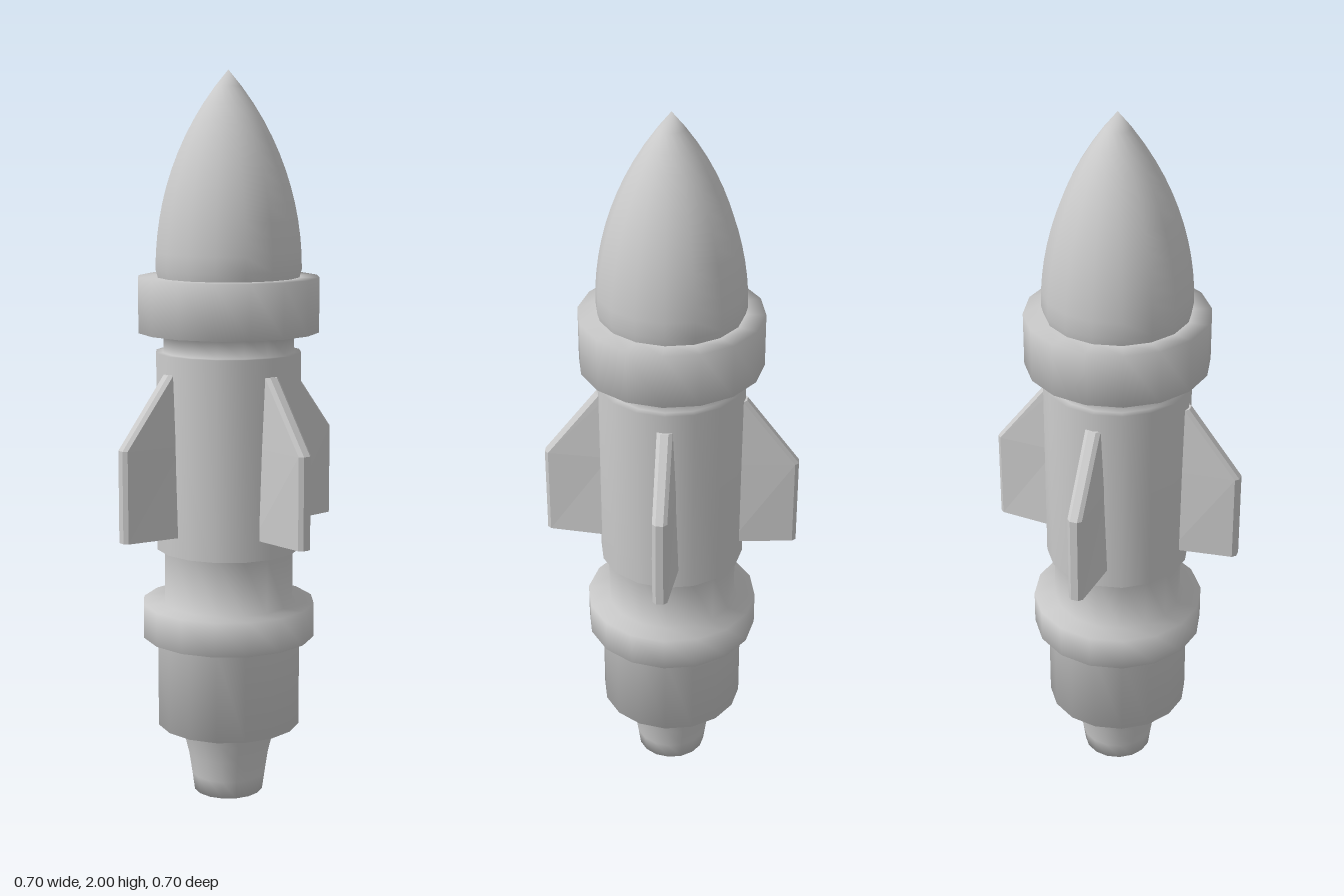
import * as THREE from 'three';
import { mergeVertices } from 'three/addons/utils/BufferGeometryUtils.js';

const SIDES = 16;
const material = new THREE.MeshStandardMaterial({ color: 0xcccccc });
const finMaterial = new THREE.MeshStandardMaterial({ color: 0xcccccc, flatShading: true });

// Turned part from [radius, height] pairs, bottom to top, with area-weighted smooth normals
function turned(name, profile) {
  const points = profile.map(([r, y]) => new THREE.Vector2(r, y));
  let geometry = new THREE.LatheGeometry(points, SIDES);
  geometry.deleteAttribute('uv');
  geometry.deleteAttribute('normal');
  geometry = mergeVertices(geometry, 1e-5);
  geometry.computeVertexNormals();
  const mesh = new THREE.Mesh(geometry, material);
  mesh.name = name;
  return mesh;
}

// Pointed arch profile of the nose: an arc from the base radius to the tip
function noseProfile(radius, base, tip, steps) {
  const length = tip - base;
  const arc = (length * length + radius * radius) / (2 * radius);
  const profile = [[0.19, 1.44]];
  for (let i = 0; i <= steps; i++) {
    const d = (length * i) / steps;
    const r = Math.sqrt(arc * arc - d * d) - (arc - radius);
    profile.push([i === steps ? 0 : r, base + d]);
  }
  return profile;
}

// Tapered fin lofted through horizontal sections with a chamfered outer edge
function finGeometry() {
  const root = 0.17;
  const sections = [
    { y: 0.76, tip: 0.35, rootHalf: 0.039, tipHalf: 0.02 },
    { y: 1.01, tip: 0.35, rootHalf: 0.031, tipHalf: 0.02 },
    { y: 1.2, tip: 0.205, rootHalf: 0.023, tipHalf: 0.021 },
  ];
  const positions = [];
  const index = [];
  const n = 6;
  for (const { y, tip, rootHalf, tipHalf } of sections) {
    positions.push(
      root, y, rootHalf, tip - 0.01, y, tipHalf, tip, y, tipHalf / 2,
      tip, y, -tipHalf / 2, tip - 0.01, y, -tipHalf, root, y, -rootHalf);
  }
  for (let i = 0; i < sections.length - 1; i++) {
    for (let j = 0; j < n; j++) {
      const a = i * n + j;
      const b = i * n + ((j + 1) % n);
      index.push(a, b, b + n, a, b + n, a + n);
    }
  }
  const top = (sections.length - 1) * n;
  for (let j = 1; j < n - 1; j++) {
    index.push(0, j + 1, j, top, top + j, top + j + 1);
  }
  const geometry = new THREE.BufferGeometry();
  geometry.setAttribute('position', new THREE.Float32BufferAttribute(positions, 3));
  geometry.setIndex(index);
  geometry.computeVertexNormals();
  return geometry;
}

export function createModel() {
  const model = new THREE.Group();
  model.name = 'rocket';

  // Flared nozzle with a closed end
  model.add(turned('nozzle', [
    [0, 0], [0.097, 0], [0.104, 0.05], [0.113, 0.11], [0.125, 0.16], [0.138, 0.205],
  ]));

  // Stepped body: lower stage, lower band, waist, main tube, neck and collar
  model.add(turned('body', [
    [0, 0.2], [0.2, 0.2], [0.2, 0.455],
    [0.24, 0.455], [0.24, 0.55],
    [0.18, 0.55], [0.18, 0.705],
    [0.2, 0.705], [0.2, 1.25],
    [0.18, 1.25], [0.18, 1.305],
    [0.248, 1.305], [0.248, 1.453], [0.188, 1.453],
  ]));

  // Nose cone
  model.add(turned('noseCone', noseProfile(0.2, 1.475, 2, 12)));

  // Four fins around the main tube
  const fin = finGeometry();
  ['leftFin', 'backFin', 'rightFin', 'frontFin'].forEach((name, i) => {
    const mesh = new THREE.Mesh(fin, finMaterial);
    mesh.name = name;
    mesh.rotation.y = (i * Math.PI) / 2;
    model.add(mesh);
  });

  return model;
}
